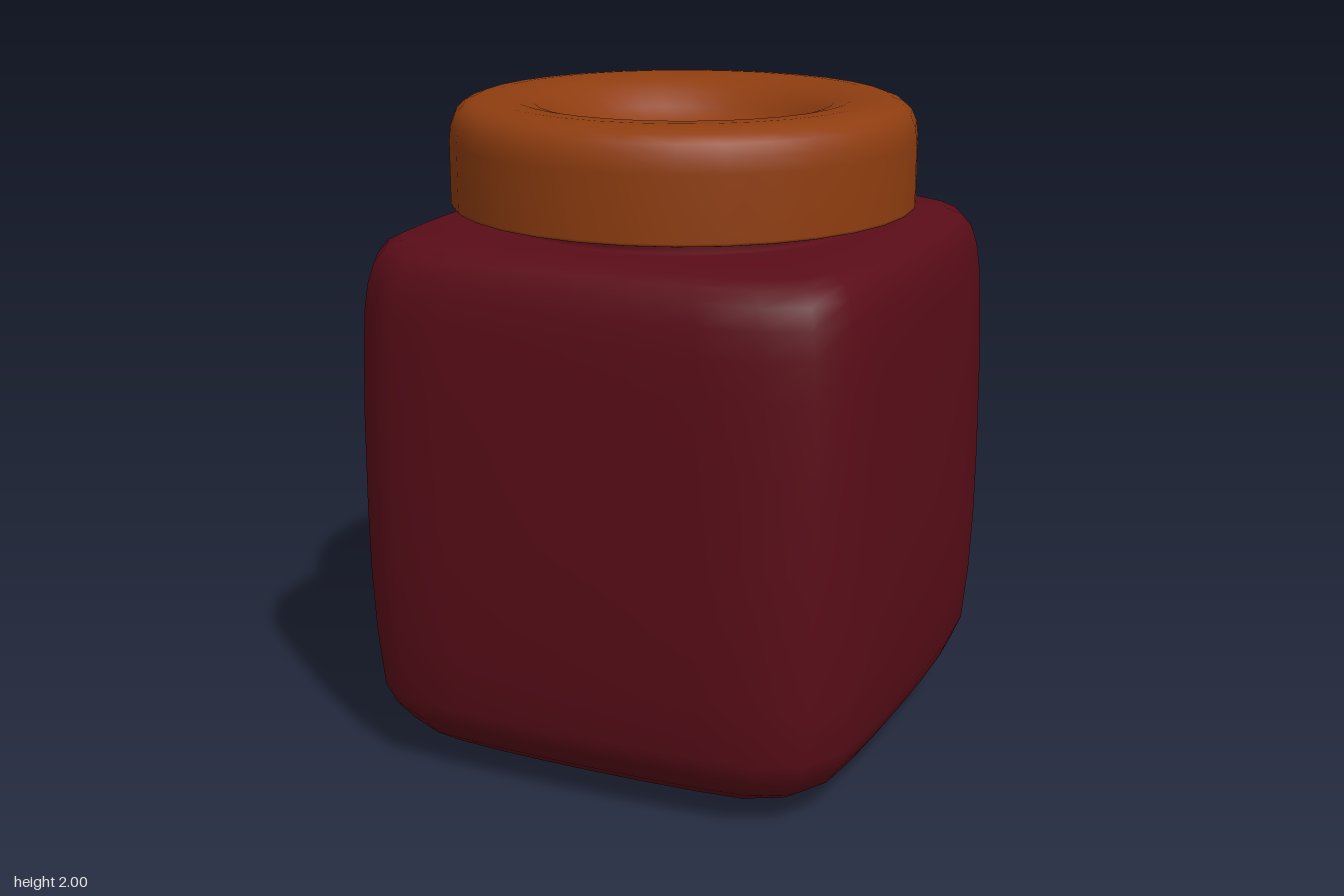
import * as THREE from 'three';

// One eighth of the rounded-square outline (half-width 1), mirrored and turned to a full loop
const EIGHTH = [[1, 0], [0.997, 0.247], [0.988, 0.494], [0.967, 0.722], [0.883, 0.883]];
const QUARTER = [...EIGHTH, ...EIGHTH.slice(1, 4).reverse().map(([x, z]) => [z, x])];
const OUTLINE = [];
for (let q = 0, t = (v) => v; q < 4; q++) {
  for (const [x, z] of QUARTER) {
    OUTLINE.push([[x, z], [-z, x], [-x, -z], [z, -x]][q]);
  }
}

// Body levels: half-width, height, roundness (0 = rounded square, 1 = circle)
const LEVELS = [
  [0, 0, 0], [0.2, 0.003, 0], [0.4, 0.012, 0], [0.58, 0.035, 0], [0.66, 0.064, 0],
  [0.715, 0.105, 0], [0.757, 0.165, 0], [0.785, 0.235, 0], [0.8, 0.41, 0],
  [0.808, 0.61, 0], [0.81, 0.81, 0], [0.808, 1.1, 0], [0.803, 1.3, 0],
  [0.797, 1.42, 0], [0.787, 1.5, 0], [0.77, 1.56, 0], [0.743, 1.598, 0],
  [0.7, 1.62, 0], [0.63, 1.625, 0.5], [0.56, 1.626, 1], [0.54, 1.628, 1],
  [0.535, 1.64, 1], [0.535, 1.75, 1],
];

function bodyGeometry() {
  const n = OUTLINE.length;
  const pos = [];
  const index = [];
  LEVELS.forEach(([r, y, round], i) => {
    OUTLINE.forEach(([x, z], j) => {
      const a = (j / n) * Math.PI * 2;
      pos.push(
        r * THREE.MathUtils.lerp(x, Math.cos(a), round),
        y,
        r * THREE.MathUtils.lerp(z, Math.sin(a), round),
      );
      if (i === LEVELS.length - 1) return;
      const k = (j + 1) % n;
      const p = i * n + j, q = i * n + k;
      if (i > 0) index.push(p, p + n, q);
      index.push(q, p + n, q + n);
    });
  });
  const geo = new THREE.BufferGeometry();
  geo.setAttribute('position', new THREE.Float32BufferAttribute(pos, 3));
  geo.setIndex(index);
  geo.computeVertexNormals();
  return geo;
}

// Lid: flat underside, straight rim, soft shoulder and a dished top
function lidGeometry() {
  const profile = [
    [0.5, 1.68], [0.695, 1.68], [0.702, 1.682], [0.705, 1.69], [0.705, 1.88],
    [0.7, 1.925], [0.685, 1.96], [0.66, 1.983], [0.625, 1.996], [0.58, 2],
    [0.51, 1.997], [0.45, 1.983], [0.4, 1.953], [0.365, 1.912], [0.33, 1.877],
    [0.28, 1.852], [0.2, 1.836], [0.1, 1.829], [0, 1.828],
  ].map(([r, y]) => new THREE.Vector2(r, y));
  return new THREE.LatheGeometry(profile, 32);
}

function part(name, geometry, color) {
  const mesh = new THREE.Mesh(
    geometry,
    new THREE.MeshStandardMaterial({ color, side: THREE.DoubleSide }),
  );
  mesh.name = name;
  return mesh;
}

export function createModel() {
  const jar = new THREE.Group();
  jar.name = 'jar';
  jar.add(part('body', bodyGeometry(), 0x5a0d18));
  jar.add(part('lid', lidGeometry(), 0x8f3d10));
  return jar;
}
